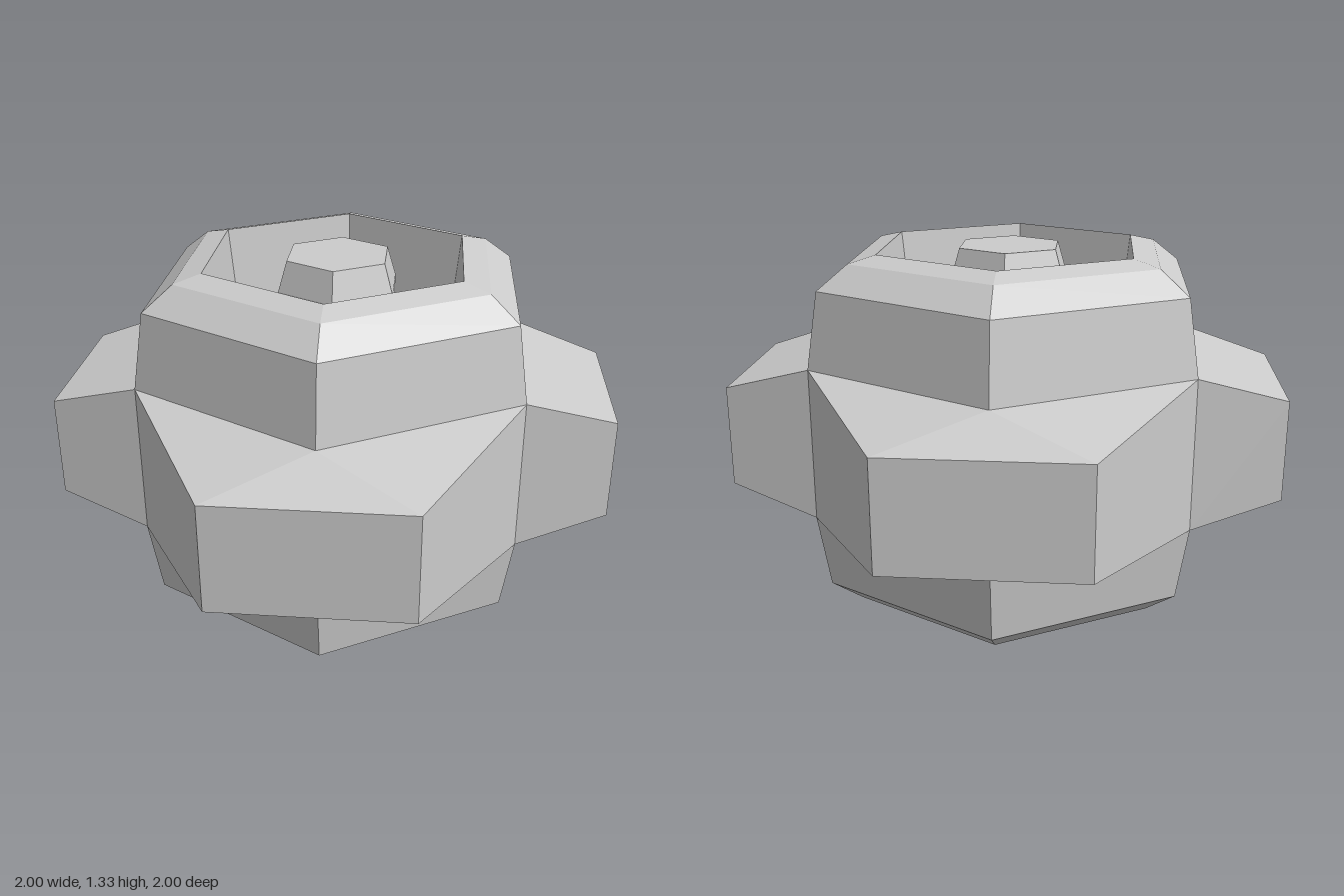
import * as THREE from 'three';

const MID = 0.67; // height of the horizontal symmetry plane
const material = new THREE.MeshStandardMaterial({ color: 0xcccccc, flatShading: true });

function addMesh(parent, name, geometry) {
  const mesh = new THREE.Mesh(geometry, material);
  mesh.name = name;
  parent.add(mesh);
  return mesh;
}

// Convex-sided solid from a plan outline of [x, z, halfHeight], anticlockwise
// from above, mirrored about y = 0.
function taperedSolid(outline) {
  const n = outline.length;
  const positions = [], index = [];
  for (const side of [1, -1])
    for (const [x, z, h] of outline) positions.push(x, side * h, z);
  for (let i = 1; i < n - 1; i++) {
    index.push(0, i, i + 1, n, n + i + 1, n + i);
  }
  for (let a = 0; a < n; a++) {
    const b = (a + 1) % n;
    index.push(n + a, n + b, b, n + a, b, a);
  }
  const geometry = new THREE.BufferGeometry();
  geometry.setAttribute('position', new THREE.Float32BufferAttribute(positions, 3));
  geometry.setIndex(index);
  geometry.computeVertexNormals();
  return geometry;
}

// Six-sided turned solid, mirrored about the middle height; the profile lists
// [radius, height above the middle] for the upper half, outside to inside.
function hexTurned(upper, closed) {
  const top = upper.map(([r, y]) => new THREE.Vector2(r, MID + y));
  const bottom = upper.map(([r, y]) => new THREE.Vector2(r, MID - y)).reverse();
  const points = [...bottom, ...top];
  if (closed) points.push(points[0].clone());
  return new THREE.LatheGeometry(points, 6);
}

export function createModel() {
  const model = new THREE.Group();
  model.name = 'hexNut';

  // Hollow hexagonal body with bevelled rims
  addMesh(model, 'body', hexTurned([
    [0.78, 0.28], [0.735, 0.555], [0.62, 0.64], [0.515, 0.665], [0.47, 0.28],
  ], true));

  // Central hexagonal hub
  addMesh(model, 'hub', hexTurned([[0.235, 0.555], [0.2, 0.665], [0, 0.665]], false));

  // Six spokes flaring from the hub to the inner wall
  const spoke = taperedSolid([
    [0.2, 0.08, 0.13], [0.41, 0.105, 0.16], [0.41, -0.105, 0.16], [0.2, -0.08, 0.13],
  ]);
  for (let i = 0; i < 6; i++) {
    const mesh = addMesh(model, 'spoke', spoke);
    mesh.position.y = MID;
    mesh.rotation.y = (i * Math.PI) / 3;
  }

  // Wide lugs wrapping the front and back corners, plain lugs on the flat sides
  const cornerLug = taperedSolid([
    [0, 0.78, 0.28], [-0.675, 0.39, 0.28], [-0.34, 1, 0.195], [0.34, 1, 0.195], [0.675, 0.39, 0.28],
  ]);
  const sideLug = taperedSolid([
    [0.675, 0.39, 0.28], [1, 0.315, 0.185], [1, -0.315, 0.185], [0.675, -0.39, 0.28],
  ]);
  const lugs = [
    ['frontLug', cornerLug, 0], ['backLug', cornerLug, Math.PI],
    ['leftLug', sideLug, 0], ['rightLug', sideLug, Math.PI],
  ];
  for (const [name, geometry, angle] of lugs) {
    const mesh = addMesh(model, name, geometry);
    mesh.position.y = MID;
    mesh.rotation.y = angle;
  }

  return model;
}
